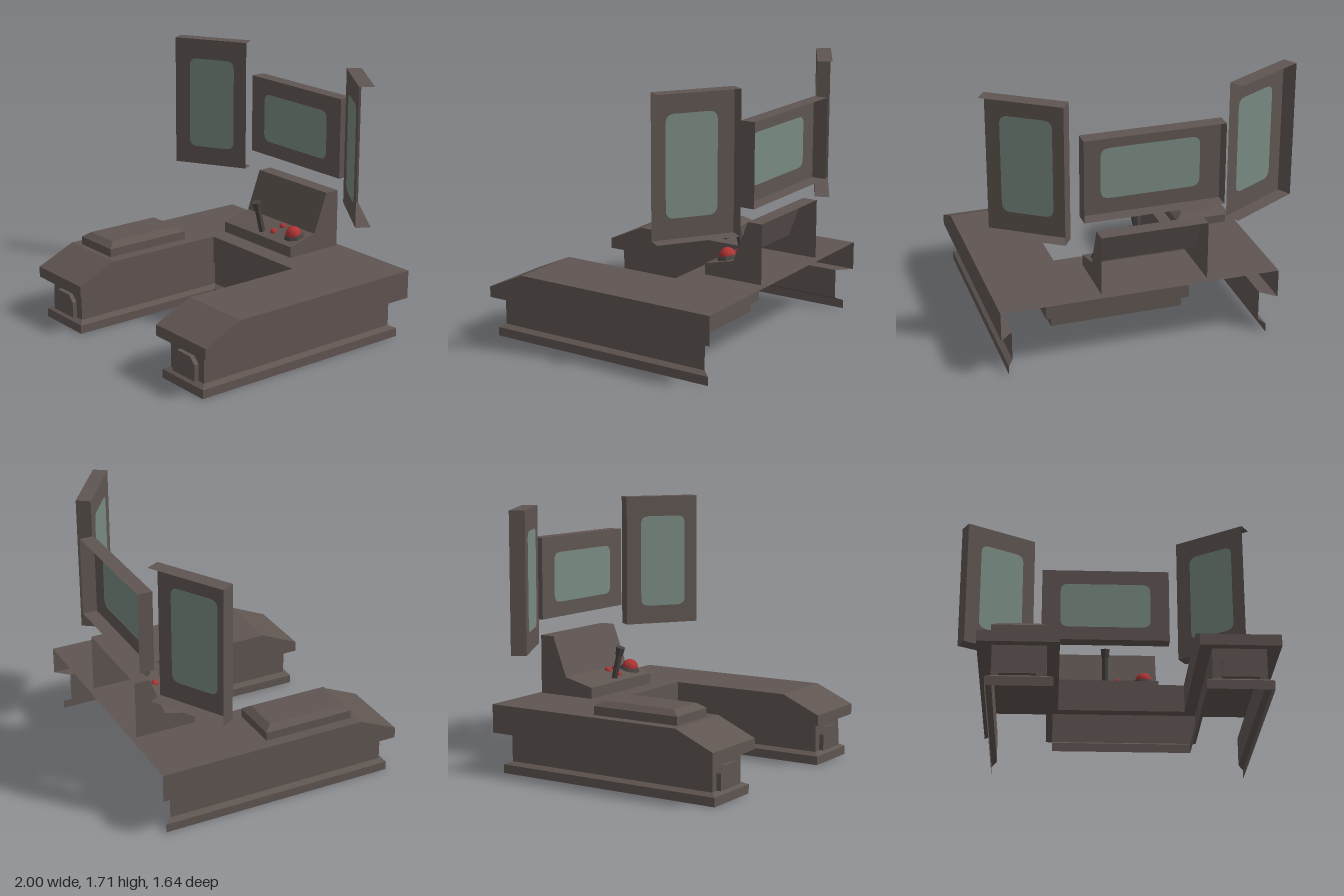
import * as THREE from 'three';

const mat = (name, color) => {
  const m = new THREE.MeshStandardMaterial({ color, side: THREE.DoubleSide });
  m.name = name;
  return m;
};

// Flat-shaded strip of quads joining successive rings of [x, y, z] points
function loft(rings, closed = false) {
  const pos = [];
  for (let r = 0; r + 1 < rings.length; r++) {
    const lo = rings[r], hi = rings[r + 1], n = lo.length;
    for (let i = 0; i < (closed ? n : n - 1); i++) {
      const j = (i + 1) % n;
      pos.push(...lo[i], ...lo[j], ...hi[j], ...lo[i], ...hi[j], ...hi[i]);
    }
  }
  const g = new THREE.BufferGeometry();
  g.setAttribute('position', new THREE.Float32BufferAttribute(pos, 3));
  g.computeVertexNormals();
  return g;
}

// U-shaped outline, open at the back; yFront lets the wing tips drop
function uRing(y, [xo0, xi0, xi1, xo1, zb, zi, zf], yFront = y) {
  const k = 0.56;
  return [
    [xo0, y, zb], [xo0, y, k], [xo0, yFront, zf], [xi0, yFront, zf], [xi0, y, k], [xi0, y, zi],
    [xi1, y, zi], [xi1, y, k], [xi1, yFront, zf], [xo1, yFront, zf], [xo1, y, k], [xo1, y, zb],
  ];
}

const rectRing = (y, x0, x1, z0, z1) => [[x0, y, z0], [x0, y, z1], [x1, y, z1], [x1, y, z0]];

function roundedRect(path, x0, x1, y0, y1, r) {
  path.moveTo(x0 + r, y0);
  path.lineTo(x1 - r, y0);
  path.quadraticCurveTo(x1, y0, x1, y0 + r);
  path.lineTo(x1, y1 - r);
  path.quadraticCurveTo(x1, y1, x1 - r, y1);
  path.lineTo(x0 + r, y1);
  path.quadraticCurveTo(x0, y1, x0, y1 - r);
  path.lineTo(x0, y0 + r);
  path.quadraticCurveTo(x0, y0, x0 + r, y0);
  return path;
}

export function createModel() {
  const model = new THREE.Group();
  const casing = mat('casing brown grey', 0x5f5551);
  const glass = mat('screen grey green', 0x788a81);
  const red = mat('button red', 0xae3434);
  const dark = mat('control dark grey', 0x474341);

  const add = (parent, name, geo, material, x = 0, y = 0, z = 0) => {
    const m = new THREE.Mesh(geo, material);
    m.name = name;
    m.position.set(x, y, z);
    parent.add(m);
    return m;
  };

  // Desk: worktop skirt, recessed body and plinth
  const top = [-0.81, -0.32, 0.5, 0.985, -0.825, -0.265, 0.82];
  const body = [-0.72, -0.395, 0.575, 0.9, -0.74, -0.34, 0.765];
  const base = [-0.755, -0.355, 0.535, 0.935, -0.785, -0.3, 0.8];
  add(model, 'deskWalls', loft([
    uRing(0, base), uRing(0.057, base), uRing(0.077, body), uRing(0.27, body),
    uRing(0.27, top), uRing(0.455, top, 0.34),
  ]), casing);

  // Worktop surface with sloping wing tips
  const [xo0, xi0, xi1, xo1, zb, zi, zf] = top;
  for (const [x0, x1] of [[xo0, xi0], [xi1, xo1]]) {
    const row = (y, z) => [[x0, y, z], [x1, y, z]];
    add(model, 'wingTop', loft([row(0.34, zf), row(0.455, 0.56), row(0.455, zi)]), casing);
  }
  add(model, 'rearTop', loft([
    [[xo0, 0.455, zi], [xo1, 0.455, zi]], [[xo0, 0.455, zb], [xo1, 0.455, zb]],
  ]), casing);

  // Arched plates on the wing ends
  const arch = new THREE.Shape([
    [-0.11, 0.08], [0.11, 0.08], [0.11, 0.185], [0.065, 0.228], [-0.065, 0.228], [-0.11, 0.185],
  ].map(p => new THREE.Vector2(...p)));
  const archGeo = new THREE.ExtrudeGeometry(arch, { depth: 0.03, bevelEnabled: false });
  for (const x of [-0.565, 0.74]) add(model, 'archPlate', archGeo, casing, x, 0, 0.765);

  // Bevelled pad on the wing
  const padTop = rectRing(0.543, -0.694, -0.445, -0.037, 0.477);
  add(model, 'pad', loft([
    rectRing(0.455, -0.737, -0.4, -0.083, 0.525), rectRing(0.51, -0.737, -0.4, -0.083, 0.525), padTop,
  ], true), casing);
  add(model, 'padTop', loft([[padTop[1], padTop[2]], [padTop[0], padTop[3]]]), casing);

  // Control console, open at the back
  const profile = [[0.385, 0.46], [0.385, 0.532], [0.59, 0.582], [0.69, 0.845], [0.79, 0.845]];
  add(model, 'consoleFront', loft(profile.map(([d, y]) => [[-0.343, y, -d], [0.343, y, -d]])), casing);
  const sideShape = new THREE.Shape([...profile, [0.79, 0.46]].map(p => new THREE.Vector2(...p)));
  for (const x of [-0.343, 0.343]) {
    const side = add(model, 'consoleSide', new THREE.ShapeGeometry(sideShape), casing, x);
    side.rotation.y = Math.PI / 2;
  }

  // Controls follow the slope of the console
  const tilt = Math.atan2(0.05, 0.205);
  const control = (name, x, z) => {
    const g = new THREE.Group();
    g.name = name;
    g.position.set(x, 0.532 + (-0.385 - z) * 0.05 / 0.205, z);
    g.rotation.x = tilt;
    model.add(g);
    return g;
  };
  const dome = r => new THREE.SphereGeometry(r, 14, 6, 0, Math.PI * 2, 0, Math.PI / 2);

  const big = control('mainButton', 0.25, -0.495);
  const collar = new THREE.CylinderGeometry(0.058, 0.07, 0.022, 8).toNonIndexed();
  collar.computeVertexNormals();
  add(big, 'mainButtonCollar', collar, dark, 0, 0.011).rotation.y = Math.PI / 8;
  add(big, 'mainButtonDome', dome(0.054), red, 0, 0.018);

  for (const [x, z] of [[0.075, -0.55], [0.158, -0.55], [0.075, -0.468]]) {
    add(control('smallButton', x, z), 'smallButtonDome', dome(0.024), red);
  }

  // Joystick
  const stick = control('joystick', -0.01, -0.437);
  const hex = (r0, r1, h) => {
    const g = new THREE.CylinderGeometry(r1, r0, h, 6).toNonIndexed();
    g.computeVertexNormals();
    return g;
  };
  add(stick, 'joystickShaft', hex(0.022, 0.022, 0.17), dark, 0, 0.08);
  add(stick, 'joystickGrip', hex(0.027, 0.034, 0.055), dark, 0, 0.188);

  // Monitors: shallow shells, open at the back
  function monitor(name, w, h, [u0, u1, v0, v1], sides, x, y, z, turn) {
    const g = new THREE.Group();
    g.name = name;
    g.position.set(x, y, z);
    g.rotation.y = turn;
    const a = w / 2, b = h / 2, d = -0.097;
    const frame = new THREE.Shape([[-a, -b], [a, -b], [a, b], [-a, b]].map(p => new THREE.Vector2(...p)));
    frame.holes.push(roundedRect(new THREE.Path(), u0, u1, v0, v1, 0.055));
    add(g, 'screenFrame', new THREE.ShapeGeometry(frame, 5), casing);
    add(g, 'screen', new THREE.ShapeGeometry(roundedRect(new THREE.Shape(), u0, u1, v0, v1, 0.055), 5), glass);
    add(g, 'shellTop', loft([[[-a, b, 0], [a, b, 0]], [[-a, b, d], [a, b, d]]]), casing);
    add(g, 'shellBottom', loft([[[-a, -b, d], [a, -b, d]], [[-a, -b, 0], [a, -b, 0]]]), casing);
    for (const s of sides) {
      const e = s * a, [p, q] = s < 0 ? [d, 0] : [0, d];
      add(g, 'shellSide', loft([[[e, -b, p], [e, -b, q]], [[e, b, p], [e, b, q]]]), casing);
    }
    model.add(g);
  }
  const tall = [-0.157, 0.172, -0.32, 0.308];
  monitor('rightMonitor', 0.526, 0.89, tall, [-1], -0.725, 1.265, -0.56, 0.515);
  monitor('leftMonitor', 0.526, 0.89, tall, [-1], 0.722, 1.265, -0.54, -0.604);
  monitor('centreMonitor', 0.89, 0.53, [-0.315, 0.313, -0.168, 0.16], [-1, 1], 0.005, 1.23, -0.7, 0);

  return model;
}
